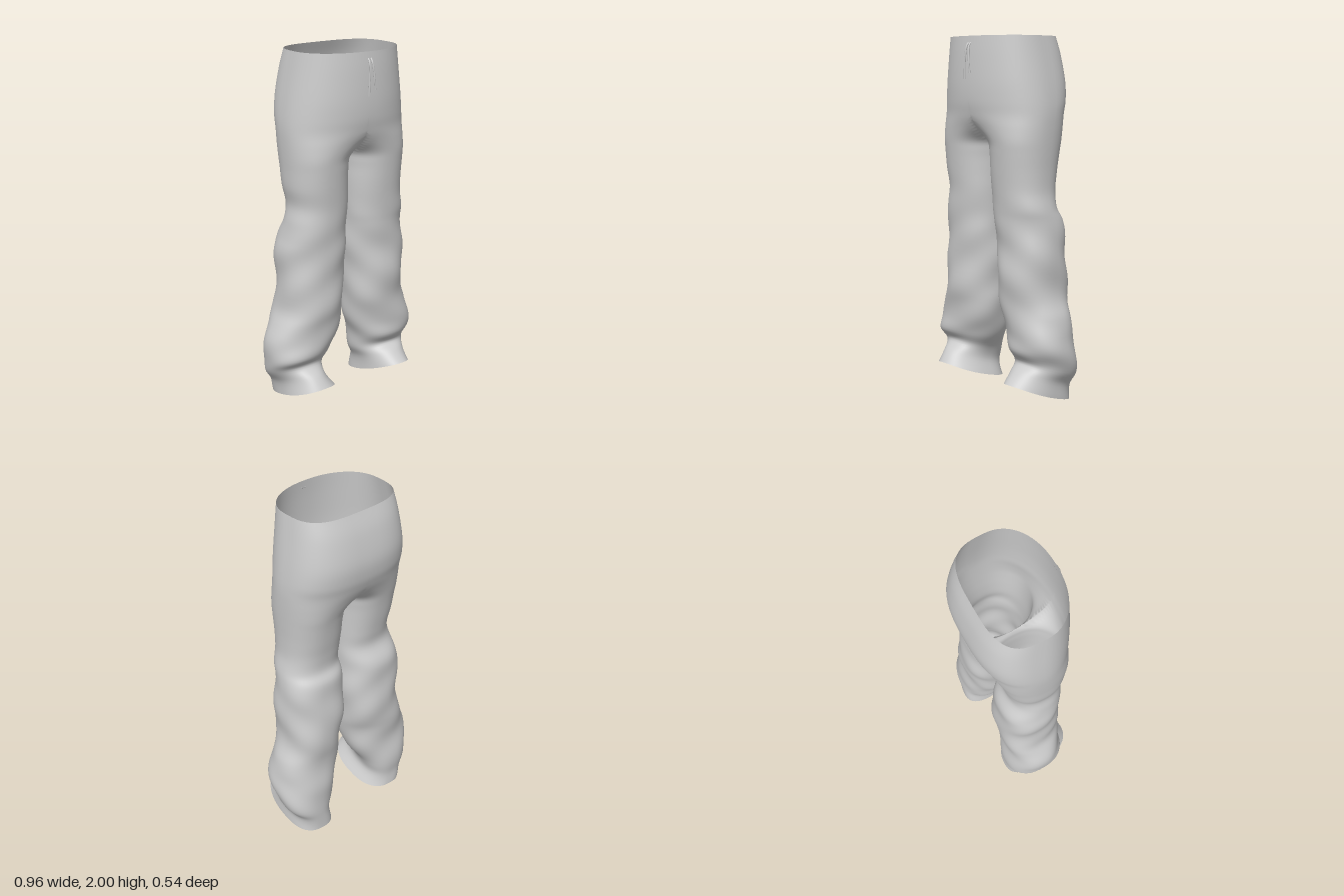
import * as THREE from 'three';
import { mergeVertices } from 'three/addons/utils/BufferGeometryUtils.js';

const SEGMENTS = 56;
const STEPS = 5;

// Cross-sections: [y at back, inner x, outer x, back z, front z, back squareness, rise towards front]
const HIPS = [
  [2.00, -0.305, 0.305, -0.20, 0.243, 3.2, 0],
  [1.90, -0.322, 0.322, -0.238, 0.25, 3.0, 0],
  [1.76, -0.345, 0.345, -0.266, 0.254, 2.8, 0],
  [1.66, -0.358, 0.358, -0.262, 0.25, 2.7, 0],
  [1.59, -0.30, 0.363, -0.243, 0.238, 2.5, 0],
  [1.52, -0.12, 0.363, -0.215, 0.222, 2.4, 0],
  [1.45, -0.005, 0.361, -0.192, 0.21, 2.3, 0],
  [1.38, 0.012, 0.358, -0.175, 0.202, 2.3, 0],
  [1.28, 0.012, 0.354, -0.157, 0.192, 2.3, 0],
];
const LEFT_LEG = [
  [1.18, 0.015, 0.356, -0.14, 0.182, 2.3, 0],
  [1.09, 0.018, 0.375, -0.135, 0.175, 2.3, 0],
  [1.02, 0.02, 0.383, -0.172, 0.17, 2.4, 0],
  [0.90, 0.025, 0.393, -0.188, 0.168, 2.4, 0],
  [0.75, 0.033, 0.402, -0.198, 0.168, 2.4, 0],
  [0.60, 0.05, 0.402, -0.195, 0.163, 2.4, 0],
  [0.50, 0.062, 0.435, -0.19, 0.156, 2.3, 0],
  [0.40, 0.077, 0.466, -0.188, 0.15, 2.3, 0],
  [0.29, 0.102, 0.478, -0.196, 0.143, 2.3, 0.03],
  [0.17, 0.125, 0.455, -0.205, 0.108, 2.3, 0.08],
  [0.09, 0.155, 0.412, -0.207, 0.165, 2.4, 0.12],
  [0.005, 0.155, 0.412, -0.21, 0.225, 2.6, 0.145],
];
const RIGHT_LEG = [
  [1.18, 0.01, 0.338, -0.14, 0.182, 2.3, 0],
  [1.09, 0.01, 0.358, -0.133, 0.176, 2.3, 0],
  [1.00, 0.01, 0.38, -0.172, 0.17, 2.4, 0],
  [0.92, 0.01, 0.392, -0.186, 0.168, 2.4, 0],
  [0.78, 0.012, 0.386, -0.196, 0.168, 2.4, 0],
  [0.60, 0.02, 0.403, -0.195, 0.163, 2.4, 0],
  [0.50, 0.036, 0.438, -0.19, 0.156, 2.3, 0],
  [0.40, 0.057, 0.47, -0.188, 0.15, 2.3, 0],
  [0.29, 0.095, 0.483, -0.196, 0.143, 2.3, 0.03],
  [0.18, 0.14, 0.465, -0.2, 0.108, 2.3, 0.08],
  [0.10, 0.16, 0.415, -0.2, 0.165, 2.4, 0.11],
  [0.02, 0.125, 0.405, -0.205, 0.225, 2.6, 0.13],
];

// Smooth in-between cross-sections
function refine(rows) {
  const out = [];
  const last = rows.length - 1;
  for (let i = 0; i < last; i++) {
    const [p, a, b, q] = [rows[Math.max(i - 1, 0)], rows[i], rows[i + 1], rows[Math.min(i + 2, last)]];
    for (let s = 0; s < STEPS; s++) {
      const t = s / STEPS;
      out.push(a.map((v, k) => 0.5 * (2 * v + (b[k] - p[k]) * t
        + (2 * p[k] - 5 * v + 4 * b[k] - q[k]) * t * t
        + (3 * v - p[k] - 3 * b[k] + q[k]) * t * t * t)));
    }
  }
  out.push(rows[last]);
  return out;
}

const bend = (v, n) => Math.sign(v) * Math.pow(Math.abs(v), 2 / n);

// Diagonal cloth folds, fading in below the thigh
function folds(y, angle, phase) {
  const weight = 1 - THREE.MathUtils.smoothstep(y, 0.85, 1.25);
  return 1 + weight * (0.028 * Math.sin(y * 15 + 2 * angle + phase)
    + 0.02 * Math.sin(y * 25 - 3 * angle + 2 * phase) - 0.01);
}

// One half of the trousers, cut off at the centre plane above the crotch
function addHalf(rows, side, phase, positions, indices) {
  const base = positions.length / 3;
  const rings = refine(rows);
  for (const [y, inner, outer, back, front, square, rise] of rings) {
    const cx = (inner + outer) / 2, rx = (outer - inner) / 2;
    const cz = (back + front) / 2, rz = (front - back) / 2;
    for (let j = 0; j < SEGMENTS; j++) {
      const angle = j / SEGMENTS * Math.PI * 2;
      const c = Math.cos(angle), s = Math.sin(angle);
      const n = s < 0 ? square : 2.2;
      const f = folds(y, angle, phase);
      const x = Math.max(0, cx + rx * f * bend(c, n));
      const u = (bend(s, n) + 1) / 2;
      positions.push(side * (x < 1e-5 ? 0 : x), y + rise * Math.pow(u, 1.4), cz + rz * f * bend(s, n));
    }
  }
  const onSeam = (k) => positions[k * 3] === 0;
  const face = (a, b, c) => {
    if (onSeam(a) && onSeam(b) && onSeam(c)) return;
    indices.push(a, ...(side > 0 ? [b, c] : [c, b]));
  };
  for (let i = 0; i < rings.length - 1; i++) {
    for (let j = 0; j < SEGMENTS; j++) {
      const k = (j + 1) % SEGMENTS;
      const a = base + i * SEGMENTS + j, b = base + i * SEGMENTS + k;
      face(a, b, a + SEGMENTS);
      face(b, b + SEGMENTS, a + SEGMENTS);
    }
  }
}

export function createModel() {
  const model = new THREE.Group();
  model.name = 'trousers';
  const cloth = new THREE.MeshStandardMaterial({ color: 0xcccccc, side: THREE.DoubleSide });

  // Hips and both legs as one seamless cloth
  const positions = [], indices = [];
  addHalf([...HIPS, ...LEFT_LEG], 1, 0.4, positions, indices);
  addHalf([...HIPS, ...RIGHT_LEG], -1, 1.9, positions, indices);
  let geometry = new THREE.BufferGeometry();
  geometry.setAttribute('position', new THREE.Float32BufferAttribute(positions, 3));
  geometry.setIndex(indices);
  geometry = mergeVertices(geometry, 1e-4);
  geometry.computeVertexNormals();
  const trousers = new THREE.Mesh(geometry, cloth);
  trousers.name = 'hipsAndLegs';
  model.add(trousers);

  // Drawstring ends hanging from the waist
  const cord = (name, x, bottom, lean) => {
    const path = new THREE.CatmullRomCurve3([
      new THREE.Vector3(x, 1.965, 0.243),
      new THREE.Vector3(x, 1.945, 0.257),
      new THREE.Vector3(x + lean * 0.5, 1.88, 0.265),
      new THREE.Vector3(x + lean, bottom, 0.265),
    ]);
    const mesh = new THREE.Mesh(new THREE.TubeGeometry(path, 16, 0.005, 6), cloth);
    mesh.name = name;
    model.add(mesh);
  };
  cord('leftDrawstring', 0.014, 1.805, 0.014);
  cord('rightDrawstring', -0.004, 1.775, -0.008);

  return model;
}
